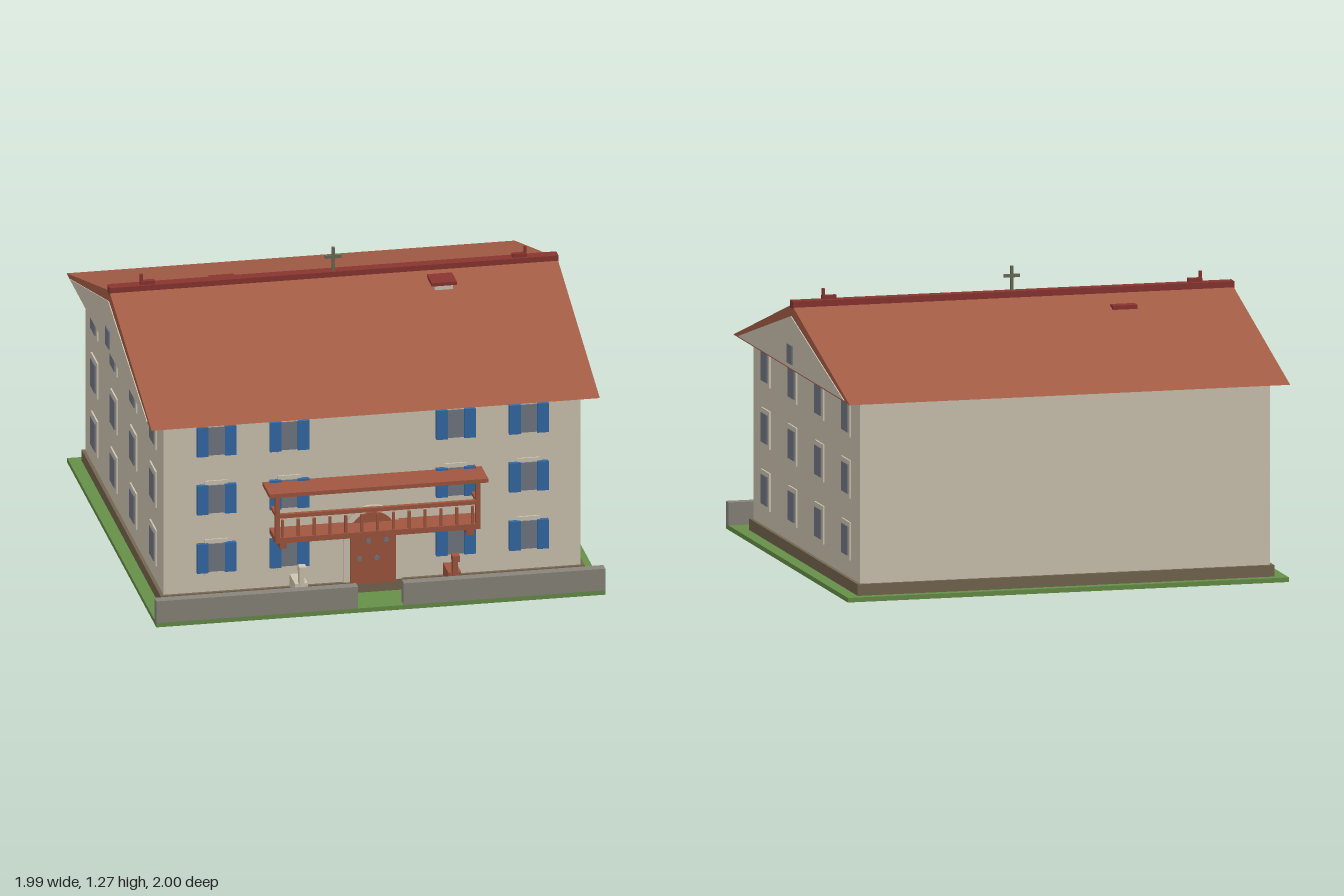
import * as THREE from 'three';

const mat = (name, color, side = THREE.FrontSide) => {
  const m = new THREE.MeshStandardMaterial({ color, side });
  m.name = name;
  return m;
};

export function createModel() {
  const M = {
    cream: mat('cream plaster', 0xcfc5b1),
    tile: mat('roof tile', 0xa55d46),
    wood: mat('red brown wood', 0xa0563f),
    ridge: mat('ridge red', 0x8a3530),
    blue: mat('shutter blue', 0x3369a6),
    glass: mat('window grey', 0x737782),
    grass: mat('grass green', 0x678f49),
    stone: mat('stone grey', 0x89857c),
    plinth: mat('plinth brown', 0x75664f),
    metal: mat('cross metal', 0x6b6a55),
  };
  const house = new THREE.Group();
  house.name = 'house';

  const group = (name, parent = house) => {
    const g = new THREE.Group();
    g.name = name;
    parent.add(g);
    return g;
  };
  const add = (name, geometry, material, parent = house) => {
    const m = new THREE.Mesh(geometry, material);
    m.name = name;
    parent.add(m);
    return m;
  };
  // Box given by its limits on each axis
  const box = (name, material, [x0, x1], [y0, y1], [z0, z1], parent = house) => {
    const g = new THREE.BoxGeometry(x1 - x0, y1 - y0, z1 - z0);
    g.translate((x0 + x1) / 2, (y0 + y1) / 2, (z0 + z1) / 2);
    return add(name, g, material, parent);
  };
  // Side profile of (z, y) points, extruded along x
  const profile = (name, material, points, x0, x1) => {
    const shape = new THREE.Shape(points.map(([z, y]) => new THREE.Vector2(-z, y)));
    const g = new THREE.ExtrudeGeometry(shape, { depth: x1 - x0, bevelEnabled: false });
    g.rotateY(Math.PI / 2);
    g.translate(x0, 0, 0);
    // the turn sends shape x to -z, which undoes the sign above
    return add(name, g, material);
  };

  // Ground, plinth and walls
  box('ground', M.grass, [-0.985, 0.985], [0, 0.02], [-0.97, 1]);
  box('plinth', M.plinth, [-0.93, 0.93], [0.02, 0.07], [-0.93, 0.82]);
  box('walls', M.cream, [-0.915, 0.915], [0.07, 0.868], [-0.915, 0.805]);
  for (const s of [-1, 1]) {
    const x = s < 0 ? [-0.985, -0.1] : [0.1, 0.985];
    box('gardenWall', M.stone, x, [0.02, 0.12], [0.955, 1]);
  }

  // Roof with cream gable panels
  const ridgeZ = -0.055;
  profile('roof', M.tile, [[0.885, 0.865], [-0.995, 0.865], [ridgeZ, 1.15]], -0.983, 0.983);
  for (const x of [-0.987, 0.982]) {
    profile('gable', M.cream, [[0.8, 0.872], [-0.91, 0.872], [ridgeZ, 1.1]], x, x + 0.005);
  }
  box('ridge', M.ridge, [-0.985, 0.985], [1.135, 1.168], [-0.085, -0.035]);

  // Ridge end ornaments
  for (const s of [-1, 1]) {
    const g = group('ridgeOrnament');
    box('ornamentBase', M.ridge, [0.785, 0.848], [1.165, 1.185], [-0.067, -0.045], g);
    box('ornamentTip', M.ridge, [0.836, 0.848], [1.185, 1.215], [-0.062, -0.05], g);
    if (s < 0) g.rotation.y = Math.PI, g.position.z = 2 * ridgeZ;
  }

  // Roof cross
  const cross = group('cross');
  box('crossPost', M.metal, [-0.006, 0.006], [1.165, 1.275], [-0.061, -0.049], cross);
  box('crossArm', M.metal, [-0.036, 0.036], [1.225, 1.239], [-0.061, -0.049], cross);

  // Chimney and rear hatch
  box('chimney', M.cream, [0.415, 0.495], [1.08, 1.127], [0.015, 0.1]);
  box('chimneyCap', M.ridge, [0.4, 0.51], [1.125, 1.14], [0, 0.11]);
  box('roofHatch', M.ridge, [-0.51, -0.4], [1.07, 1.112], [-0.24, -0.192]);

  // Windows: built facing +z, then turned to their wall
  const addWindow = (x, y, z, turn, shutters) => {
    const g = group('window');
    g.position.set(x, y, z);
    g.rotation.y = turn;
    const w = shutters ? 0.05 : 0.068;
    box('windowFrame', M.cream, [-w, w], [-0.083, 0.083], [-0.004, 0.007], g);
    box('windowPane', M.glass, [-0.05, 0.05], [-0.064, 0.064], [0, 0.013], g);
    if (!shutters) return;
    for (const s of [-1, 1]) {
      const cx = s * 0.061;
      box('shutter', M.blue, [cx - 0.025, cx + 0.025], [-0.067, 0.067], [0, 0.02], g);
    }
  };
  for (const y of [0.23, 0.5, 0.768]) {
    for (const x of [-0.685, -0.365, 0.365, 0.685]) addWindow(x, y, 0.805, 0, true);
    for (const z of [0.595, 0.16, -0.27, -0.7]) {
      for (const s of [-1, 1]) addWindow(s * 0.915, y, z, s * Math.PI / 2, false);
    }
  }
  for (const s of [-1, 1]) {
    const x = s < 0 ? [-0.994, -0.986] : [0.986, 0.994];
    box('gableWindow', M.glass, x, [0.892, 0.975], [-0.095, -0.015]);
  }

  // Arched door with surround and studs
  const arch = (r, bottom) => {
    const s = new THREE.Shape();
    s.moveTo(-r, bottom);
    s.lineTo(r, bottom);
    s.lineTo(r, 0.29);
    s.absarc(0, 0.29, r, 0, Math.PI, false);
    s.lineTo(-r, bottom);
    return s;
  };
  const slab = (name, shape, material, depth) => {
    const g = new THREE.ExtrudeGeometry(shape, { depth, bevelEnabled: false, curveSegments: 16 });
    g.translate(0, 0, 0.8);
    return add(name, g, material);
  };
  slab('doorSurround', arch(0.128, 0.07), M.cream, 0.018);
  slab('door', arch(0.1, 0.062), M.wood, 0.026);
  for (const [x, y] of [[-0.02, 0.26], [0.058, 0.26], [-0.06, 0.18], [0.016, 0.18]]) {
    const stud = add('doorStud', new THREE.CylinderGeometry(0.011, 0.011, 0.006, 10), M.glass);
    stud.rotation.x = Math.PI / 2;
    stud.position.set(x, y, 0.828);
  }

  // Balcony
  const balcony = group('balcony');
  box('balconyFloor', M.wood, [-0.45, 0.45], [0.32, 0.345], [0.8, 0.935], balcony);
  box('balconyRoof', M.wood, [-0.48, 0.48], [0.54, 0.558], [0.8, 0.955], balcony);
  box('frontRail', M.wood, [-0.45, 0.45], [0.435, 0.453], [0.917, 0.935], balcony);
  for (const s of [-1, 1]) {
    const span = (c, h) => [s * c - h, s * c + h];
    box('balconyPost', M.wood, span(0.44, 0.01), [0.345, 0.54], [0.915, 0.935], balcony);
    box('sideRail', M.wood, span(0.44, 0.008), [0.437, 0.452], [0.8, 0.917], balcony);
    box('bracket', M.wood, span(0.41, 0.016), [0.285, 0.32], [0.8, 0.91], balcony);
  }
  for (let i = -6; i <= 6; i++) {
    const x = i * 0.0695;
    box('baluster', M.wood, [x - 0.006, x + 0.006], [0.345, 0.424], [0.919, 0.931], balcony);
  }

  // Two animals standing in the front yard
  const animal = (x, material) => {
    const g = group('animal');
    g.position.x = x;
    box('body', material, [-0.028, 0.028], [0.075, 0.132], [0.825, 0.945], g);
    box('neck', material, [-0.011, 0.011], [0.125, 0.205], [0.93, 0.955], g);
    box('head', material, [-0.016, 0.016], [0.193, 0.22], [0.94, 0.98], g);
    for (const sx of [-0.02, 0.02]) {
      for (const z of [0.845, 0.925]) {
        box('leg', material, [sx - 0.006, sx + 0.006], [0.02, 0.075], [z - 0.006, z + 0.006], g);
      }
    }
  };
  animal(-0.338, M.cream);
  animal(0.335, M.wood);

  return house;
}
